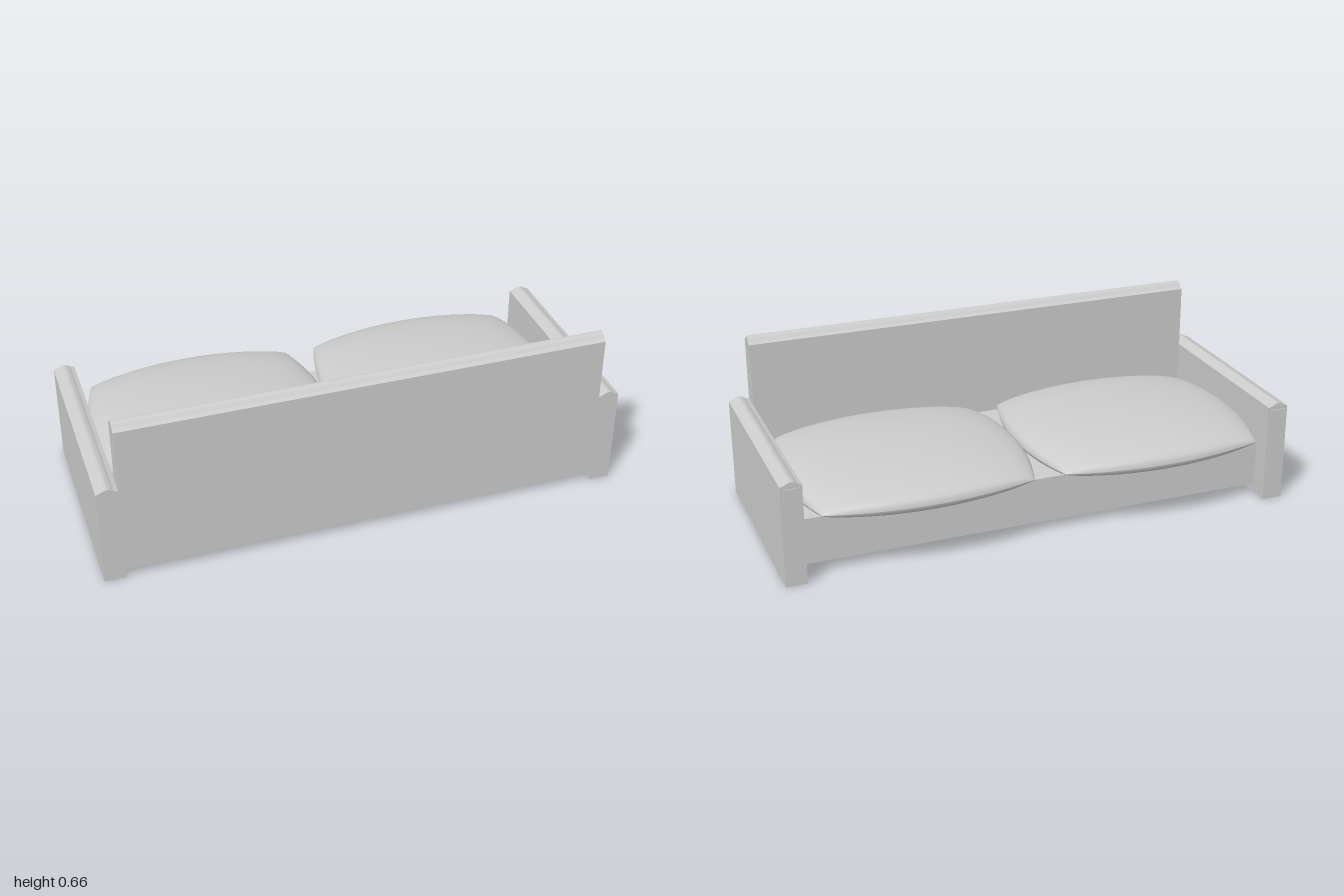
import * as THREE from 'three';

const material = new THREE.MeshStandardMaterial({ color: 0xcccccc });

function add(group, name, geometry, x = 0, y = 0, z = 0) {
  const mesh = new THREE.Mesh(geometry, material);
  mesh.name = name;
  mesh.position.set(x, y, z);
  group.add(mesh);
  return mesh;
}

// Upright panel, extruded along z, with a moulded ridge on its top edge
function ridgedPanel(width, bottom, shoulder, rise, length) {
  const shape = new THREE.Shape();
  shape.moveTo(-width / 2, bottom);
  shape.lineTo(width / 2, bottom);
  const ridge = [[0.5, 0], [0.32, 0.28], [0.19, 0.72], [0.06, 0.98], [0, 1]];
  const mirrored = ridge.slice(0, -1).reverse().map(([u, h]) => [-u, h]);
  for (const [u, h] of [...ridge, ...mirrored]) shape.lineTo(u * width, shoulder + h * rise);
  const geometry = new THREE.ExtrudeGeometry(shape, { depth: length, bevelEnabled: false });
  return geometry.translate(0, 0, -length / 2);
}

// One domed half of a cushion; side is +1 for the top and -1 for the underside
function cushionHalf(side, height) {
  const n = 28;
  const geometry = new THREE.PlaneGeometry(2, 2, n, n).rotateX(-Math.PI / 2);
  const p = geometry.attributes.position;
  for (let i = 0; i < p.count; i++) {
    // Rows crowd towards the rim, where the dome is steepest
    const u = Math.sin(p.getX(i) * Math.PI / 2);
    const v = Math.sin(p.getZ(i) * Math.PI / 2);
    const dome = Math.pow(Math.max(0, (1 - u * u) * (1 - v * v)), 0.4);
    p.setXYZ(i,
      u * (0.4 + 0.06 * (1 - v * v)),
      side * height * dome,
      v * (0.353 + 0.06 * (1 - u * u)));
  }
  // The underside needs the opposite winding
  if (side < 0) {
    const index = geometry.index;
    for (let i = 0; i < index.count; i += 3) {
      const a = index.getX(i);
      index.setX(i, index.getX(i + 1));
      index.setX(i + 1, a);
    }
  }
  geometry.computeVertexNormals();
  return geometry;
}

export function createModel() {
  const sofa = new THREE.Group();
  sofa.name = 'sofa';

  // Seat base between the arms
  add(sofa, 'seatBase', new THREE.BoxGeometry(1.84, 0.18, 0.68), 0, 0.127, 0.04);

  // Backrest, running along x
  const back = add(sofa, 'backrest', ridgedPanel(0.075, 0.037, 0.637, 0.026, 1.84), 0, 0, 0.417);
  back.rotation.y = Math.PI / 2;

  for (const s of [-1, 1]) {
    const sideName = s > 0 ? 'left' : 'right';

    // Arm with a thin raised panel on its end
    add(sofa, sideName + 'Arm', ridgedPanel(0.08, 0, 0.39, 0.015, 0.829), s * 0.96, 0, 0.04);
    add(sofa, sideName + 'ArmEndPanel', new THREE.BoxGeometry(0.06, 0.35, 0.006), s * 0.96, 0.205, -0.375);

    // Pillow-like seat cushion
    const cushion = new THREE.Group();
    cushion.name = sideName + 'Cushion';
    cushion.position.set(s * 0.461, 0.266, -0.042);
    add(cushion, 'cushionTop', cushionHalf(1, 0.084));
    add(cushion, 'cushionUnderside', cushionHalf(-1, 0.066));
    sofa.add(cushion);
  }

  return sofa;
}
